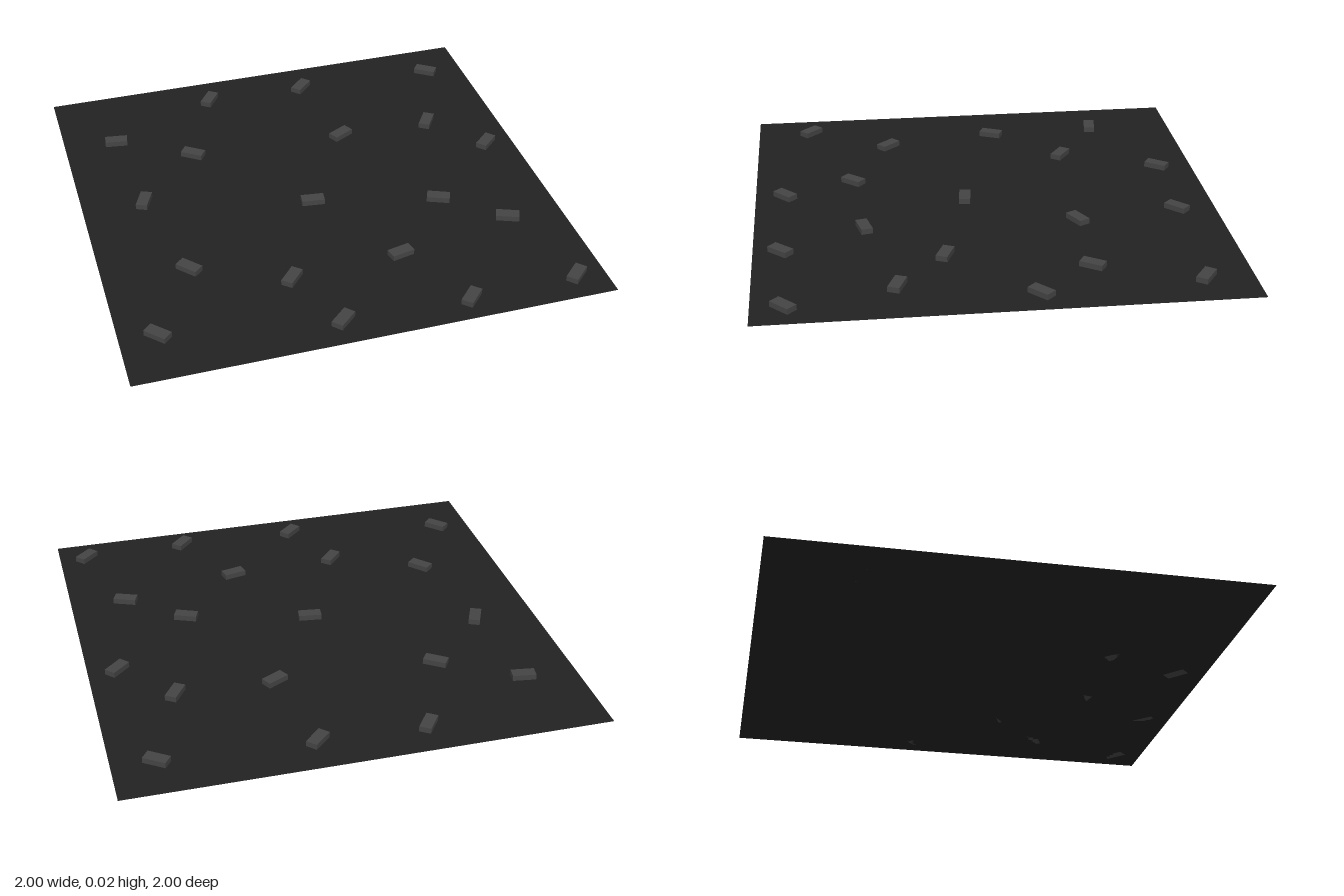
import * as THREE from 'three';

export function createModel() {
  const model = new THREE.Group();
  const asphalt = new THREE.MeshStandardMaterial({ name: 'asphalt', color: 0x222222, side: THREE.DoubleSide });
  const stone = new THREE.MeshStandardMaterial({ name: 'stone', color: 0x444444 });

  // Flat ground sheet
  const ground = new THREE.Mesh(new THREE.PlaneGeometry(2, 2).rotateX(-Math.PI / 2), asphalt);
  ground.name = 'ground';
  model.add(ground);

  // Scattered bricks: x, z, turn about y in degrees
  const placements = [
    [-0.27, -0.84, 55], [0.185, -0.83, 45], [0.82, -0.8, -35],
    [-0.765, -0.61, -8], [-0.445, -0.415, -35], [0.25, -0.38, 28],
    [0.67, -0.37, 57], [-0.73, -0.12, 66], [0.875, -0.13, 43],
    [-0.02, 0.08, -7], [0.515, 0.215, -23], [-0.64, 0.385, -48],
    [0.755, 0.425, -22], [-0.25, 0.565, 49], [0.23, 0.535, 13],
    [-0.845, 0.75, -46], [-0.125, 0.87, 43], [0.41, 0.885, 47],
    [0.875, 0.87, 44],
  ];
  const height = 0.024;
  const brickShape = new THREE.BoxGeometry(0.1, height, 0.05).translate(0, height / 2, 0);
  const bricks = new THREE.Group();
  bricks.name = 'bricks';
  for (const [x, z, turn] of placements) {
    const brick = new THREE.Mesh(brickShape, stone);
    brick.name = 'brick';
    brick.position.set(x, 0, z);
    brick.rotation.y = THREE.MathUtils.degToRad(turn);
    bricks.add(brick);
  }
  model.add(bricks);
  return model;
}
